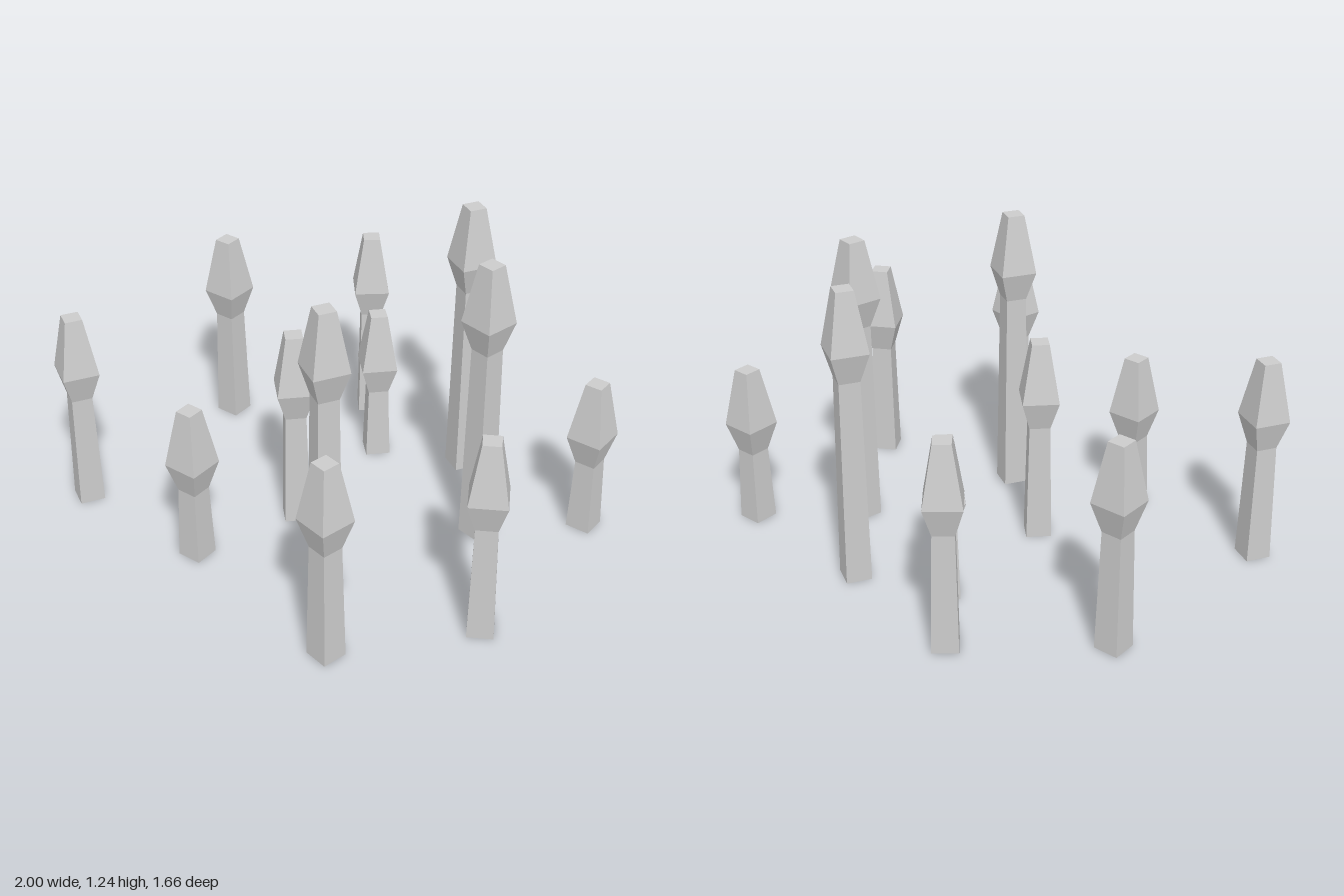
import * as THREE from 'three';

// x, z, neck height, turn in degrees
const POSTS = [
  [-0.358, -0.727, 0.505, 40],
  [-0.128, -0.462, 0.32, 45],
  [0.235, -0.60, 0.875, -30],
  [0.882, -0.535, 0.32, 0],
  [-0.842, -0.329, 0.505, 0],
  [0.553, -0.227, 0.875, -12],
  [-0.112, 0.131, 0.505, 45],
  [0.896, 0.278, 0.505, 30],
  [0.254, 0.409, 0.875, -30],
  [-0.898, 0.559, 0.505, -30],
  [-0.273, 0.575, 0.32, 0],
  [0.508, 0.738, 0.505, -12],
];

// Square post from [side width, height] pairs, closed at both ends
function postGeometry(neck) {
  const profile = [
    [0, 0], [0.104, 0], // base
    [0.085, neck], // neck
    [0.149, neck + 0.122], // widest ring of the head
    [0.07, neck + 0.368], [0, neck + 0.368], // flat tip
  ].map(([width, y]) => new THREE.Vector2(width * Math.SQRT1_2, y));
  return new THREE.LatheGeometry(profile, 4).rotateY(Math.PI / 4);
}

export function createModel() {
  const model = new THREE.Group();
  model.name = 'postCluster';
  const material = new THREE.MeshStandardMaterial({ color: 0xcccccc, flatShading: true });

  POSTS.forEach(([x, z, neck, turn], i) => {
    const post = new THREE.Mesh(postGeometry(neck), material);
    post.name = `post${i + 1}`;
    post.position.set(x, 0, z);
    post.rotation.y = THREE.MathUtils.degToRad(turn);
    model.add(post);
  });
  return model;
}
